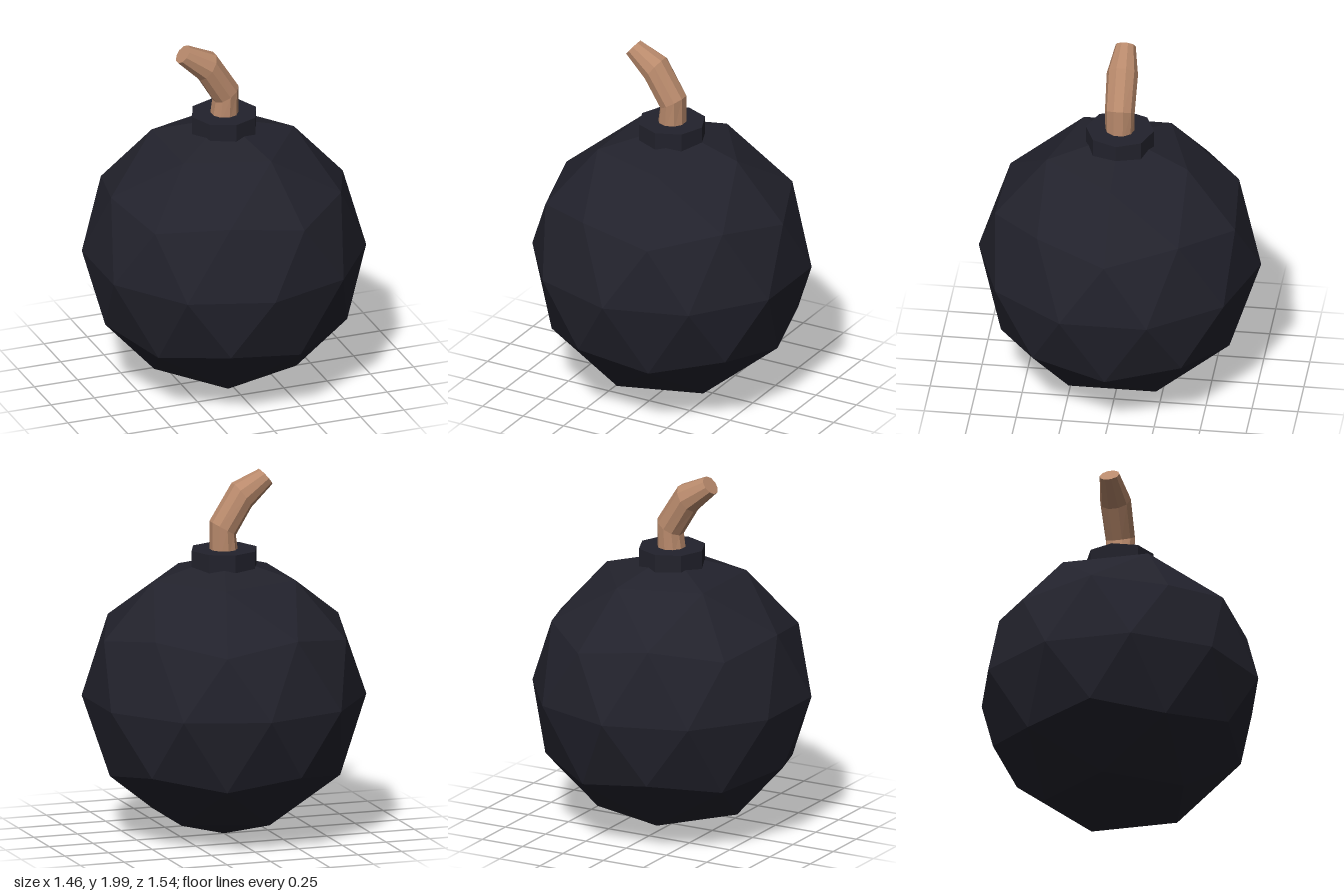
import * as THREE from 'three';

const bodyDark = new THREE.MeshStandardMaterial({ color: 0x22222c });
const fuseTan = new THREE.MeshStandardMaterial({ color: 0xb98a6c });
bodyDark.name = 'bodyDark';
fuseTan.name = 'fuseTan';

// Faceted mesh: one normal per face
function facetedMesh(name, geometry, material) {
  const geo = geometry.index ? geometry.toNonIndexed() : geometry;
  geo.computeVertexNormals();
  const mesh = new THREE.Mesh(geo, material);
  mesh.name = name;
  return mesh;
}

// Bent, tapering tube; each ring is [x, y, tilt in degrees, radius]
function bentTube(rings, sides) {
  const positions = [];
  const index = [];
  for (const [x, y, tilt, r] of rings) {
    const t = THREE.MathUtils.degToRad(tilt);
    for (let j = 0; j < sides; j++) {
      const a = ((j + 0.5) / sides) * Math.PI * 2;
      const u = r * Math.cos(a);
      positions.push(x + u * Math.cos(t), y + u * Math.sin(t), r * Math.sin(a));
    }
  }
  for (let i = 0; i < rings.length - 1; i++) {
    for (let j = 0; j < sides; j++) {
      const a = i * sides + j;
      const b = i * sides + ((j + 1) % sides);
      index.push(a, a + sides, b, b, a + sides, b + sides);
    }
  }
  // end cap
  const last = (rings.length - 1) * sides;
  for (let j = 1; j < sides - 1; j++) index.push(last, last + j + 1, last + j);
  const geo = new THREE.BufferGeometry();
  geo.setAttribute('position', new THREE.Float32BufferAttribute(positions, 3));
  geo.setIndex(index);
  return geo;
}

export function createModel() {
  const model = new THREE.Group();
  model.name = 'roundBomb';

  // Body: icosphere turned so that one corner points straight up
  const sphere = new THREE.IcosahedronGeometry(0.768, 1);
  sphere.rotateZ(-Math.atan(2 / (1 + Math.sqrt(5))));
  sphere.translate(0, 0.773, 0);
  model.add(facetedMesh('body', sphere, bodyDark));

  // Collar around the fuse
  const collar = new THREE.CylinderGeometry(0.185, 0.185, 0.127, 8);
  collar.translate(0, 1.514, 0);
  model.add(facetedMesh('collar', collar, bodyDark));

  // Fuse leaning to the right
  const fuse = bentTube([
    [0, 1.54, 0, 0.079],
    [0.008, 1.692, 30, 0.081],
    [-0.1, 1.866, 54, 0.085],
    [-0.238, 1.959, 51, 0.055],
  ], 10);
  model.add(facetedMesh('fuse', fuse, fuseTan));

  return model;
}
